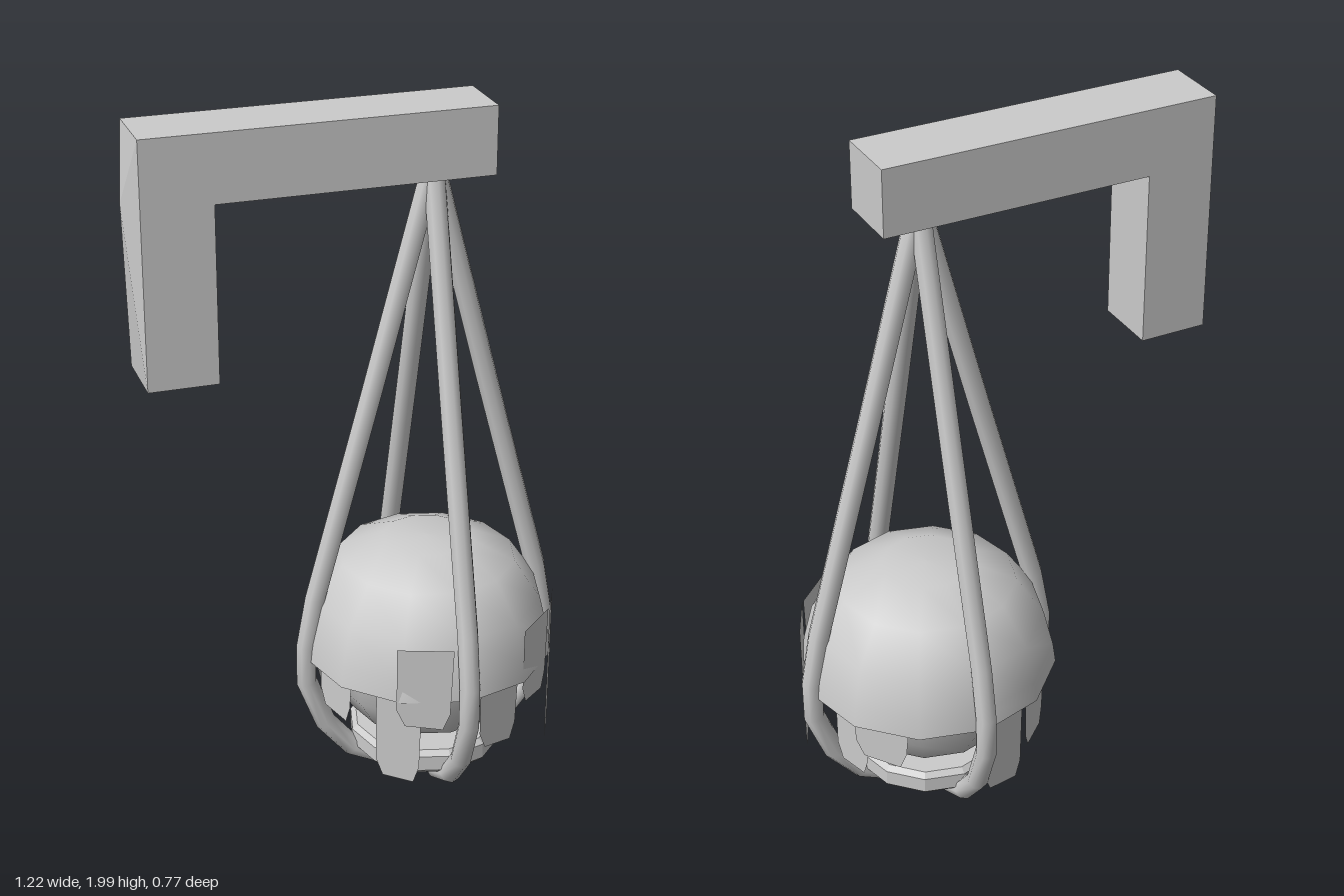
import * as THREE from 'three';

const CX = 0.22; // axis of the hanging lantern

export function createModel() {
  const model = new THREE.Group();
  const smooth = new THREE.MeshStandardMaterial({ color: 0xcccccc, side: THREE.DoubleSide });
  const flat = new THREE.MeshStandardMaterial({ color: 0xcccccc, side: THREE.DoubleSide, flatShading: true });

  const add = (name, geometry, material, x = 0, y = 0, z = 0) => {
    const mesh = new THREE.Mesh(geometry, material);
    mesh.name = name;
    mesh.position.set(x, y, z);
    model.add(mesh);
    return mesh;
  };
  const outline = (pts) => new THREE.Shape(pts.map(([x, y]) => new THREE.Vector2(x, y)));
  const lathe = (name, pts, material) => add(name,
    new THREE.LatheGeometry(pts.map(([r, y]) => new THREE.Vector2(r, y)), 12), material, CX);

  // L-shaped wall bracket
  const bracket = outline([[-0.58, 1.33], [-0.39, 1.33], [-0.39, 1.815], [0.36, 1.815], [0.36, 2], [-0.58, 2]]);
  add('bracket', new THREE.ExtrudeGeometry(bracket, { depth: 0.188, bevelEnabled: false }), flat, 0, 0, -0.094);

  // Shallow pointed back of the bracket: four triangles meeting at one apex
  const corners = [[-0.58, 1.33, -0.094], [-0.58, 1.33, 0.094], [-0.58, 2, 0.094], [-0.58, 2, -0.094]];
  const fan = corners.flatMap((c, i) => [...c, ...corners[(i + 1) % 4], -0.61, 1.81, 0]);
  const point = new THREE.BufferGeometry();
  point.setAttribute('position', new THREE.Float32BufferAttribute(fan, 3));
  point.computeVertexNormals();
  add('bracketBack', point, flat);

  // Two crossing cord loops, with one tube ring at each path point
  const half = [[0.004, 1.82], [0.165, 1.21], [0.33, 0.6], [0.357, 0.45], [0.357, 0.335],
    [0.302, 0.19], [0.222, 0.092], [0.112, 0.037]];
  const loop = [...half, ...half.map(([u, y]) => [-u, y]).reverse()];
  const curve = new THREE.CatmullRomCurve3(loop.map(([u, y]) => new THREE.Vector3(u, y, 0)));
  curve.getPointAt = (t, target) => curve.getPoint(t, target);
  curve.getTangentAt = (t, target) => curve.getTangent(t, target);
  for (const turn of [0, Math.PI / 2]) {
    const cord = add('cordLoop', new THREE.TubeGeometry(curve, loop.length - 1, 0.03, 8), smooth, CX);
    cord.rotation.y = turn;
  }

  // Dome, its underside, the inner bulb and the base disc
  lathe('dome', [[0.36, 0.41], [0.352, 0.47], [0.325, 0.58], [0.25, 0.69], [0.125, 0.745], [0, 0.748]], smooth);
  lathe('domeUnderside', [[0.28, 0.41], [0.36, 0.41]], flat);
  lathe('bulb', [[0, 0.155], [0.12, 0.165], [0.22, 0.225], [0.278, 0.315], [0.295, 0.415]], smooth);
  lathe('baseDisc', [[0, 0.085], [0.205, 0.085], [0.22, 0.1], [0.22, 0.145], [0.205, 0.16], [0, 0.16]], flat);

  // Hanging flaps: angle from +x towards +z, distance, width, top, bottom
  const flaps = [
    [110, 0.35, 0.155, 0.575, 0.325], [48, 0.347, 0.15, 0.57, 0.325], [26, 0.354, 0.145, 0.565, 0.13],
    [69, 0.315, 0.14, 0.42, 0.21], [123, 0.315, 0.13, 0.42, 0.13], [160, 0.325, 0.14, 0.42, 0.28],
    [-134, 0.315, 0.16, 0.42, 0.21], [-104, 0.32, 0.14, 0.42, 0.15], [-41, 0.325, 0.16, 0.42, 0.28],
    [-22, 0.315, 0.12, 0.42, 0.21],
  ];
  for (const [degrees, r, w, top, bottom] of flaps) {
    const a = THREE.MathUtils.degToRad(degrees);
    const h = w / 2;
    const shape = outline([[-h, top], [-h, bottom + 0.06], [-h * 0.7, bottom + 0.01],
      [h * 0.65, bottom], [h * 0.9, bottom + 0.05], [h, top]]);
    const flap = add('flap', new THREE.ShapeGeometry(shape), flat, CX + r * Math.cos(a), 0, r * Math.sin(a));
    flap.rotation.y = Math.PI / 2 - a;
  }
  return model;
}
